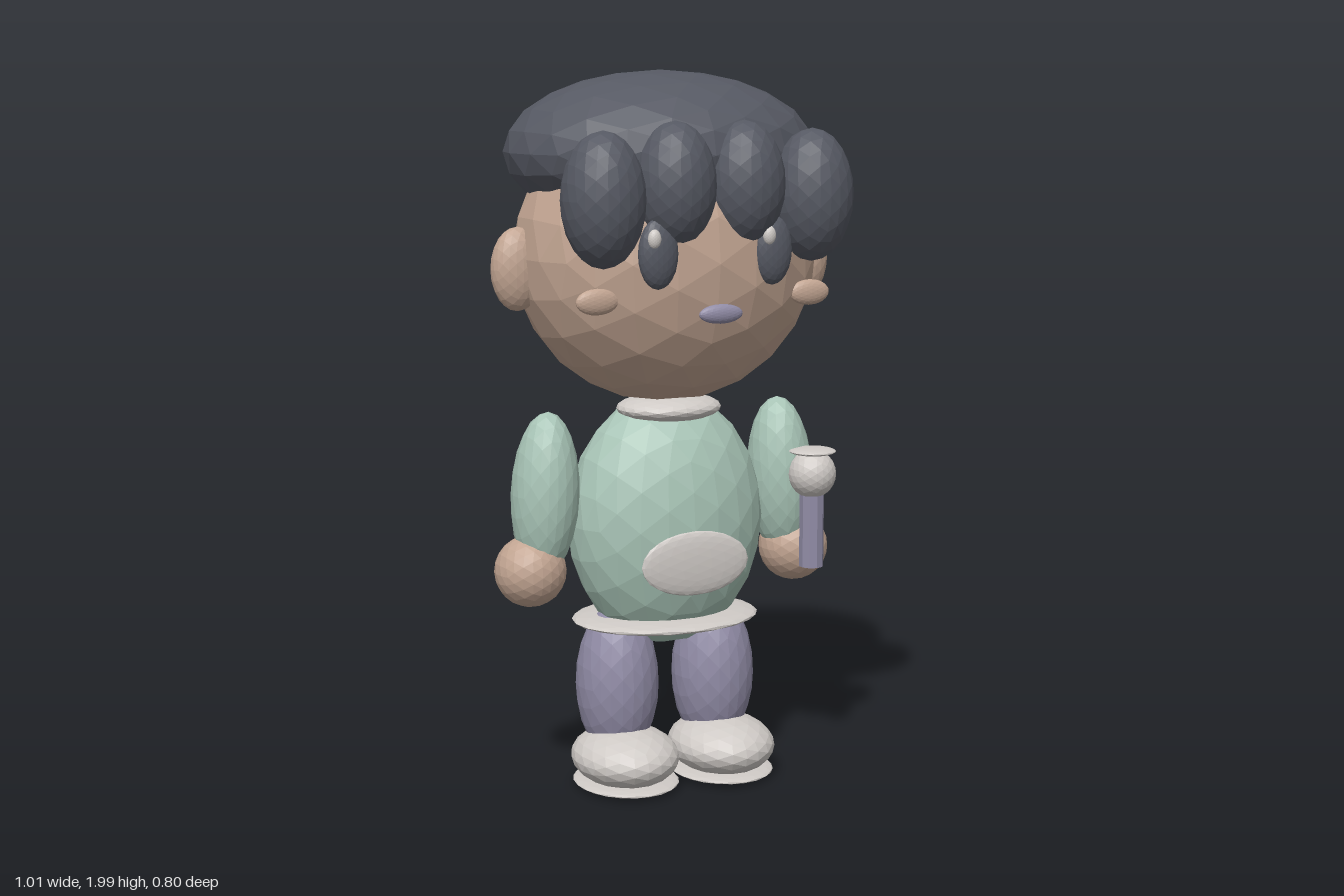
import * as THREE from 'three';

export function createModel() {
  const model = new THREE.Group();
  model.name = 'childWithMicrophone';

  const paint = (name, color) => {
    const m = new THREE.MeshStandardMaterial({ color, flatShading: true });
    m.name = name;
    return m;
  };
  const skin = paint('skin', 0xc2a592);
  const hair = paint('charcoal', 0x565963);
  const mint = paint('mint', 0xa9c5b7);
  const purple = paint('purple', 0x918ca6);
  const white = paint('offWhite', 0xcfcac6);

  const ball = new THREE.IcosahedronGeometry(1, 3);

  const add = (name, geometry, material, [x, y, z]) => {
    const mesh = new THREE.Mesh(geometry, material);
    mesh.name = name;
    mesh.position.set(x, y, z);
    model.add(mesh);
    return mesh;
  };
  // Faceted ellipsoid from a centre and three radii
  const blob = (name, material, centre, radii) => {
    const mesh = add(name, ball, material, centre);
    mesh.scale.set(...radii);
    return mesh;
  };

  // Head and hair
  blob('head', skin, [0, 1.5, 0], [0.43, 0.41, 0.36]);
  blob('hairCap', hair, [0, 1.78, -0.035], [0.44, 0.22, 0.365]);
  blob('mouth', purple, [0, 1.37, 0.362], [0.063, 0.026, 0.017]);

  // Torso, collar, pocket and hem
  blob('torso', mint, [0, 0.755, 0], [0.285, 0.36, 0.205]);
  blob('collar', white, [0, 1.075, 0.025], [0.15, 0.04, 0.125]);
  blob('pocket', white, [0, 0.667, 0.206], [0.16, 0.09, 0.016]);
  blob('hem', white, [0, 0.475, 0], [0.272, 0.025, 0.21]);

  // Paired parts
  for (const s of [-1, 1]) {
    const side = s > 0 ? 'left' : 'right';
    blob(side + 'OuterFringe', hair, [s * 0.302, 1.67, 0.29], [0.112, 0.178, 0.112]);
    blob(side + 'InnerFringe', hair, [s * 0.1, 1.703, 0.29], [0.11, 0.168, 0.11]);
    blob(side + 'Ear', skin, [s * 0.43, 1.472, -0.008], [0.075, 0.114, 0.052]);
    blob(side + 'Eye', hair, [s * 0.165, 1.53, 0.33], [0.056, 0.093, 0.032]);
    blob(side + 'EyeGlint', white, [s * 0.165 - 0.02, 1.57, 0.352], [0.018, 0.026, 0.015]);
    blob(side + 'Cheek', skin, [s * 0.31, 1.405, 0.265], [0.06, 0.035, 0.018]);
    const arm = blob(side + 'Arm', mint, [s * 0.36, 0.85, 0], [0.094, 0.23, 0.1]);
    arm.rotation.z = s * 0.05;
    blob(side + 'Hand', skin, [s * 0.405, 0.64, 0], [0.1, 0.1, 0.1]);
    blob(side + 'Leg', purple, [s * 0.148, 0.295, 0], [0.117, 0.225, 0.122]);
    blob(side + 'Shoe', white, [s * 0.149, 0.097, 0.058], [0.149, 0.083, 0.174]);
    blob(side + 'Sole', white, [s * 0.147, 0.027, 0.06], [0.146, 0.016, 0.168]);
  }

  // Microphone in the left hand
  const mic = [0.405, 0.115];
  add('microphoneHandle', new THREE.CylinderGeometry(0.035, 0.035, 0.21, 10), purple, [mic[0], 0.707, mic[1]]);
  blob('microphoneHead', white, [mic[0], 0.87, mic[1]], [0.068, 0.07, 0.068]);
  blob('microphoneCap', white, [mic[0], 0.935, mic[1]], [0.067, 0.011, 0.067]);

  return model;
}
